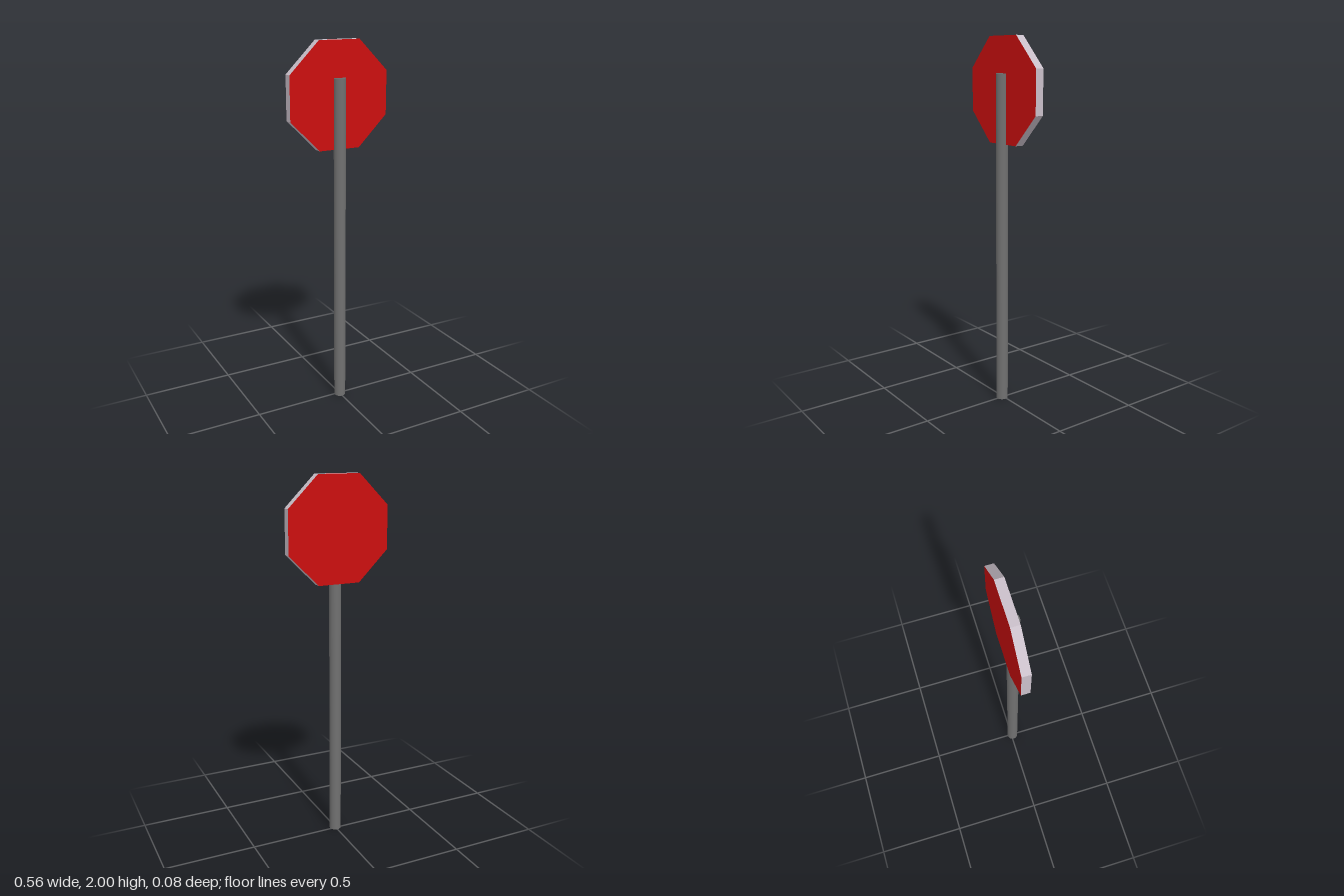
import * as THREE from 'three';

const POLE_RADIUS = 0.032, POLE_HEIGHT = 1.81, POLE_Z = 0.008;
const PLATE_HALF = 0.279, PLATE_Y = 1.721, PLATE_BACK = -0.041, PLATE_DEPTH = 0.046;

export function createModel() {
  const group = new THREE.Group();
  const red = new THREE.MeshStandardMaterial({ color: 0xcc0f0f });
  const rim = new THREE.MeshStandardMaterial({ color: 0xcac0ca });
  const steel = new THREE.MeshStandardMaterial({ color: 0x707070 });

  // Round pole standing on the ground, partly sunk into the plate
  const pole = new THREE.Mesh(
    new THREE.CylinderGeometry(POLE_RADIUS, POLE_RADIUS, POLE_HEIGHT, 32), steel);
  pole.name = 'pole';
  pole.position.set(0, POLE_HEIGHT / 2, POLE_Z);
  group.add(pole);

  // Octagonal plate: red faces, pale rim
  const corners = [];
  const radius = PLATE_HALF / Math.cos(Math.PI / 8);
  for (let i = 0; i < 8; i++) {
    const a = (i + 0.5) * Math.PI / 4;
    corners.push(new THREE.Vector2(radius * Math.cos(a), radius * Math.sin(a)));
  }
  const plate = new THREE.Mesh(
    new THREE.ExtrudeGeometry(new THREE.Shape(corners), { depth: PLATE_DEPTH, bevelEnabled: false }),
    [red, rim]);
  plate.name = 'signPlate';
  plate.position.set(0, PLATE_Y, PLATE_BACK);
  group.add(plate);

  return group;
}
